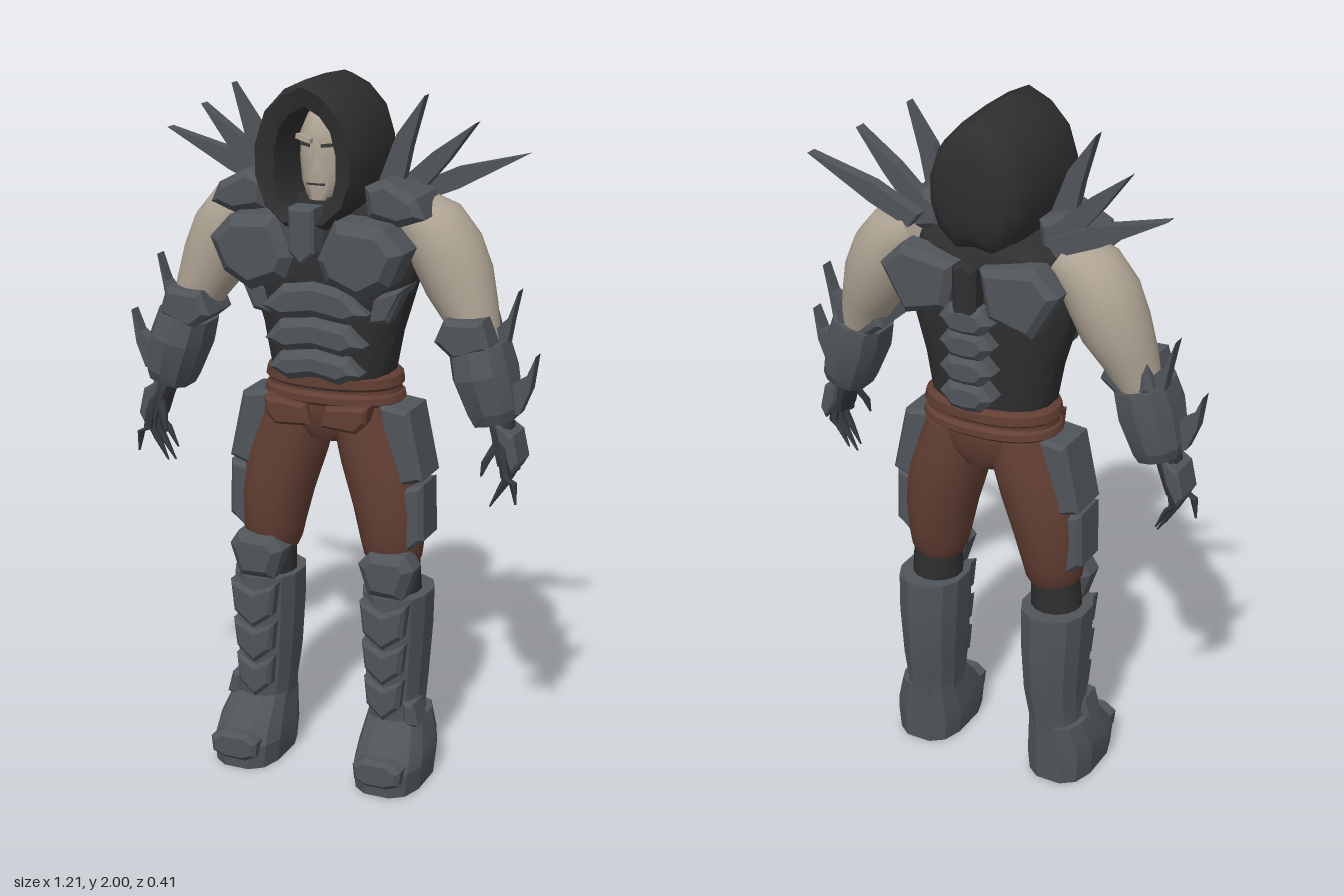
import * as THREE from 'three';
import { toCreasedNormals } from 'three/addons/utils/BufferGeometryUtils.js';

const material = (name, color) => {
  const m = new THREE.MeshStandardMaterial({ color });
  m.name = name;
  return m;
};

// Skin a list of closed rings (equal point counts), closing both ends
function skin(rings, crease) {
  const n = rings[0].length, pos = [], idx = [];
  rings.forEach(r => r.forEach(p => pos.push(p.x, p.y, p.z)));
  for (let r = 0; r < rings.length - 1; r++) {
    for (let i = 0; i < n; i++) {
      const j = (i + 1) % n, a = r * n + i, b = r * n + j;
      idx.push(a, a + n, b, b, a + n, b + n);
    }
  }
  [0, rings.length - 1].forEach((r, end) => {
    const c = new THREE.Vector3();
    rings[r].forEach(p => c.addScaledVector(p, 1 / n));
    const k = pos.length / 3;
    pos.push(c.x, c.y, c.z);
    for (let i = 0; i < n; i++) {
      const a = r * n + i, b = r * n + (i + 1) % n;
      end ? idx.push(k, b, a) : idx.push(k, a, b);
    }
  });
  const g = new THREE.BufferGeometry();
  g.setAttribute('position', new THREE.Float32BufferAttribute(pos, 3));
  g.setIndex(idx);
  return toCreasedNormals(g, crease);
}

// Rising sections: [x, y, z, radiusX, radiusZ, tilt]; e below 1 makes them boxier
function loft(sections, n = 20, e = 1, crease = 1) {
  const pow = v => Math.sign(v) * Math.abs(v) ** e;
  return skin(sections.map(([x, y, z, rx, rz, t = 0]) => Array.from({ length: n }, (_, i) => {
    const a = (i + 0.5) / n * Math.PI * 2, u = rx * pow(Math.cos(a));
    return new THREE.Vector3(x + u * Math.cos(t), y + u * Math.sin(t), z + rz * pow(Math.sin(a)));
  })), crease);
}

// Bevelled plate from a front outline, between two z values
function plate(points, z0, z1, bevel = 0.012) {
  const shape = new THREE.Shape(points.map(p => new THREE.Vector2(...p)));
  const g = new THREE.ExtrudeGeometry(shape, {
    depth: z1 - z0 - 2 * bevel, bevelEnabled: bevel > 0, bevelSegments: 1,
    bevelThickness: bevel, bevelSize: bevel, bevelOffset: -bevel
  });
  return g.translate(0, 0, z0 + bevel);
}

const symmetric = half => [...half, ...half.filter(p => p[0] > 0).reverse().map(([x, y]) => [-x, y])];

// Mirror in x and restore the corner order
function mirrored(geo) {
  const g = (geo.index ? geo.toNonIndexed() : geo.clone()).scale(-1, 1, 1);
  for (const key of ['position', 'normal']) {
    const a = g.attributes[key];
    for (let i = 0; i < a.count; i += 3) {
      const b = [a.getX(i + 1), a.getY(i + 1), a.getZ(i + 1)];
      a.setXYZ(i + 1, a.getX(i + 2), a.getY(i + 2), a.getZ(i + 2));
      a.setXYZ(i + 2, ...b);
    }
  }
  return g;
}

export function createModel() {
  const root = new THREE.Group();
  root.name = 'armouredFigure';
  const armour = material('steel grey', 0x50555a);
  const cloth = material('charcoal cloth', 0x2f2f2f);
  const leather = material('brown trousers', 0x633f34);
  const flesh = material('pale skin', 0xaea393);
  const glove = material('dark glove', 0x36393c);

  const add = (name, geo, mat) => {
    const m = new THREE.Mesh(geo, mat);
    m.name = name;
    root.add(m);
  };
  const pair = (name, geo, mat) => {
    add(name + 'Left', geo, mat);
    add(name + 'Right', mirrored(geo), mat);
  };

  // Torso
  add('torso', loft([
    [0, 1.15, -0.02, 0.172, 0.12], [0, 1.3, -0.02, 0.2, 0.127], [0, 1.45, -0.02, 0.245, 0.138],
    [0, 1.55, -0.02, 0.262, 0.132], [0, 1.63, -0.02, 0.21, 0.12], [0, 1.68, -0.01, 0.11, 0.1]
  ], 16, 0.85, 0.5), cloth);

  // Chest, belly and rib armour
  pair('chestPlate', plate([[0.28, 1.565], [0.22, 1.63], [0.085, 1.64], [0.035, 1.53],
    [0.06, 1.47], [0.16, 1.43], [0.24, 1.475]], 0.05, 0.198, 0.028), armour);
  add('collarPendant', plate(symmetric([[0, 1.515], [0.037, 1.55], [0.037, 1.67]]), 0.13, 0.203, 0.008), armour);
  pair('ribPlate', plate([[0.245, 1.45], [0.15, 1.42], [0.14, 1.34], [0.2, 1.35]], -0.03, 0.085), armour);
  [[1.36, 0.155, 0.09, 1.455], [1.27, 0.145, 0.1, 1.355], [1.19, 0.135, 0.1, 1.265]].forEach(([y, w, t, top], i) =>
    add('bellyPlate' + (i + 1), plate(symmetric([[0, y], [w - 0.06, y - 0.015], [w, y + 0.015],
      [t, top - 0.015], [0, top]]), 0.04, 0.137, 0.02), armour));

  // Back armour and spine
  pair('backPlate', plate([[0.035, 1.61], [0.2, 1.635], [0.265, 1.57], [0.19, 1.44], [0.06, 1.475]],
    -0.192, -0.09, 0.02), armour);
  add('spineStrap', plate(symmetric([[0, 1.44], [0.035, 1.46], [0.035, 1.61], [0, 1.63]]), -0.203, -0.12), cloth);
  [1.46, 1.39, 1.315, 1.24].forEach((y, i) =>
    add('spinePlate' + (i + 1), plate(symmetric([[0, y - 0.045], [0.045, y - 0.04], [0.08, y],
      [0.05, y + 0.04], [0, y + 0.045]]), -0.205, -0.1, 0.02), armour));

  // Hood: inner wall, rim, outer wall and rounded back
  const outer = symmetric([[0, 1.62], [0.06, 1.61], [0.12, 1.665], [0.146, 1.74], [0.147, 1.82],
    [0.118, 1.91], [0.06, 1.972], [0, 2]]);
  const inner = symmetric([[0, 1.63], [0.035, 1.64], [0.068, 1.685], [0.082, 1.745], [0.082, 1.81],
    [0.068, 1.865], [0.04, 1.9], [0, 1.922]]);
  const hoodRing = (pts, z, s = 1, cy = 1.8) =>
    pts.map(([x, y]) => new THREE.Vector3(x * s, cy + (y - cy) * s, z));
  add('hood', skin([
    hoodRing(inner, -0.06), hoodRing(inner, 0.15), hoodRing(inner, 0.175, 1.08),
    hoodRing(outer, 0.19, 0.92), hoodRing(outer, 0.165), hoodRing(outer, 0.04),
    hoodRing(outer, -0.09, 0.95, 1.84), hoodRing(outer, -0.14, 0.86, 1.84),
    hoodRing(outer, -0.165, 0.68, 1.84), hoodRing(outer, -0.173, 0.4, 1.84)
  ], 0.75), cloth);

  // Head and face
  add('head', loft([
    [0, 1.58, 0, 0.06, 0.06], [0, 1.665, 0.01, 0.058, 0.06], [0, 1.672, 0.04, 0.04, 0.06],
    [0, 1.72, 0.022, 0.063, 0.083], [0, 1.78, 0.01, 0.073, 0.092], [0, 1.85, 0.01, 0.07, 0.095],
    [0, 1.9, 0, 0.052, 0.075], [0, 1.92, 0, 0.025, 0.04]
  ], 16, 0.9, 1), flesh);
  const nose = new THREE.ConeGeometry(0.021, 0.07, 4, 1).toNonIndexed();
  nose.computeVertexNormals();
  add('nose', nose.translate(0, 1.785, 0.104), flesh);
  pair('brow', new THREE.BoxGeometry(0.05, 0.014, 0.02).rotateY(0.25).rotateZ(0.2).translate(0.032, 1.835, 0.098), flesh);
  pair('eye', new THREE.BoxGeometry(0.032, 0.009, 0.008).rotateY(0.25).rotateZ(0.1).translate(0.031, 1.82, 0.098), glove);
  add('mouth', new THREE.BoxGeometry(0.05, 0.005, 0.008).translate(0, 1.716, 0.102), glove);

  // Shoulder guards with fanned spikes
  pair('shoulderGuard', plate([[0.14, 1.72], [0.2, 1.745], [0.285, 1.7], [0.31, 1.645], [0.24, 1.62],
    [0.15, 1.64]], -0.06, 0.12, 0.02), armour);
  pair('lowSpike', plate([[0.53, 1.805], [0.33, 1.755], [0.19, 1.69], [0.22, 1.65], [0.34, 1.7]], -0.102, -0.066, 0), armour);
  pair('middleSpike', plate([[0.4, 1.885], [0.28, 1.8], [0.17, 1.7], [0.23, 1.67], [0.32, 1.775]], -0.06, -0.022, 0), armour);
  pair('highSpike', plate([[0.278, 1.957], [0.2, 1.85], [0.15, 1.72], [0.215, 1.7], [0.24, 1.82]], 0, 0.033, 0), armour);

  // Arms
  pair('arm', loft([
    [0.46, 1.18, 0, 0.05, 0.05, 0.3], [0.43, 1.3, -0.01, 0.06, 0.065, 0.3], [0.4, 1.38, -0.02, 0.075, 0.085, 0.4],
    [0.362, 1.46, -0.03, 0.096, 0.1, 0.45], [0.325, 1.54, -0.03, 0.1, 0.107, 0.5],
    [0.28, 1.605, -0.03, 0.092, 0.1, 0.7], [0.22, 1.64, -0.03, 0.07, 0.08, 1]
  ], 20, 1, 1.2), flesh);

  // Forearm armour
  pair('elbowGuard', plate([[0.466, 1.385], [0.36, 1.38], [0.333, 1.315], [0.39, 1.27], [0.49, 1.305]],
    -0.07, 0.095, 0.015), armour);
  pair('bracer', loft([
    [0.49, 1.1, 0.01, 0.06, 0.075, 0.25], [0.485, 1.13, 0.01, 0.07, 0.09, 0.25],
    [0.455, 1.23, 0.01, 0.083, 0.105, 0.25], [0.435, 1.3, 0.005, 0.078, 0.095, 0.25]
  ], 10, 0.75, 0.3), armour);
  pair('elbowSpike', plate([[0.537, 1.455], [0.52, 1.37], [0.505, 1.28], [0.44, 1.28], [0.465, 1.335],
    [0.51, 1.38]], -0.04, 0, 0), armour);
  pair('wristSpike', plate([[0.603, 1.295], [0.59, 1.2], [0.562, 1.13], [0.52, 1.13], [0.54, 1.21],
    [0.578, 1.235]], 0, 0.04, 0), armour);

  // Hands
  pair('palm', loft([[0.53, 0.99, 0.03, 0.022, 0.05], [0.522, 1.04, 0.025, 0.03, 0.054],
    [0.495, 1.13, 0.01, 0.035, 0.04]], 10, 0.8, 0.6), glove);
  pair('handPlate', plate([[0.555, 1.075], [0.5, 1.11], [0.52, 1.03], [0.555, 0.97], [0.572, 1]], -0.035, 0.072, 0.008), armour);
  [[-0.012, 0.49, 0.885], [0.02, 0.482, 0.858], [0.05, 0.49, 0.865], [0.075, 0.57, 0.89]].forEach(([z, x, y], i) =>
    pair('finger' + (i + 1), loft([[x, y, z, 0.003, 0.003], [(x + 0.53) / 2 + 0.012, y + 0.06, z, 0.011, 0.012],
      [0.54, 0.96, z, 0.013, 0.013], [0.53, 1.02, z, 0.013, 0.013]], 6, 1, 0.8), glove));
  pair('thumb', loft([[0.475, 0.96, 0.085, 0.003, 0.003], [0.485, 1, 0.08, 0.012, 0.012],
    [0.515, 1.06, 0.05, 0.015, 0.015]], 6, 1, 0.8), glove);

  // Trousers and waistband
  add('hips', loft([[0, 0.99, -0.03, 0.09, 0.085], [0, 1.04, -0.03, 0.18, 0.112],
    [0, 1.1, -0.03, 0.2, 0.12], [0, 1.18, -0.03, 0.185, 0.12]], 24, 0.9), leather);
  pair('trouserLeg', loft([
    [0.185, 0.635, -0.015, 0.07, 0.07], [0.185, 0.66, -0.015, 0.082, 0.084], [0.182, 0.71, -0.015, 0.09, 0.098],
    [0.172, 0.8, -0.02, 0.102, 0.112], [0.145, 0.92, -0.026, 0.114, 0.118], [0.115, 1.02, -0.03, 0.108, 0.12],
    [0.1, 1.1, -0.03, 0.095, 0.112]
  ], 20), leather);
  [[1.145, 1.19, 0.2], [1.1, 1.138, 0.205]].forEach(([a, b, r], i) =>
    add('waistband' + (i + 1), loft([[0, a, -0.03, r - 0.01, 0.12], [0, a + 0.01, -0.03, r, 0.132],
      [0, b - 0.01, -0.03, r - 0.005, 0.132], [0, b, -0.03, r - 0.017, 0.12]], 24, 0.9, 0.6), leather));
  pair('pocketFlap', plate([[0.155, 1.115], [0.03, 1.105], [0.015, 1.045], [0.12, 1.038], [0.15, 1.07]],
    0.04, 0.118, 0.01), leather);

  // Thigh and knee armour
  pair('upperThighPlate', plate([[0.25, 1.1], [0.16, 1.11], [0.2, 0.875], [0.292, 0.905]], -0.095, 0.055), armour);
  pair('lowerThighPlate', plate([[0.292, 0.892], [0.21, 0.87], [0.245, 0.69], [0.296, 0.73]], -0.075, 0.05), armour);
  pair('kneeJoint', loft([[0.195, 0.53, -0.015, 0.075, 0.075], [0.19, 0.67, -0.015, 0.07, 0.072]], 14), cloth);
  pair('kneeGuard', plate([[0.282, 0.65], [0.255, 0.692], [0.15, 0.688], [0.115, 0.65], [0.145, 0.56],
    [0.25, 0.555]], -0.005, 0.1, 0.025), armour);

  // Boots
  pair('bootShaft', loft([
    [0.212, 0.1, -0.01, 0.085, 0.1], [0.203, 0.2, -0.012, 0.076, 0.1], [0.2, 0.3, -0.02, 0.084, 0.112],
    [0.2, 0.45, -0.022, 0.094, 0.117], [0.2, 0.56, -0.02, 0.098, 0.112]
  ], 12, 0.85, 0.25), armour);
  [[0.55, 0.41, 0.07], [0.43, 0.3, 0.064], [0.32, 0.19, 0.058]].forEach(([top, low, w], i) =>
    pair('shinPlate' + (i + 1), plate([[0.2 - w, top], [0.2, top - 0.03], [0.2 + w, top], [0.2 + w * 0.85, low + 0.045],
      [0.2, low], [0.2 - w * 0.85, low + 0.045]], 0.02, 0.112 - i * 0.004, 0.012), armour));
  pair('anklePlate', plate([[0.25, 0.25], [0.283, 0.245], [0.3, 0.18], [0.255, 0.165]], -0.01, 0.08), armour);
  pair('foot', loft([[0.22, 0, 0.04, 0.096, 0.148], [0.22, 0.07, 0.04, 0.104, 0.15],
    [0.22, 0.115, 0.025, 0.1, 0.135], [0.213, 0.19, -0.01, 0.084, 0.1]], 12, 0.7, 0.3), armour);
  pair('toeGuard', plate([[0.15, 0.09], [0.18, 0.112], [0.26, 0.112], [0.295, 0.09], [0.29, 0.045],
    [0.25, 0.03], [0.19, 0.03], [0.155, 0.045]], 0.135, 0.203, 0.012), armour);

  return root;
}
